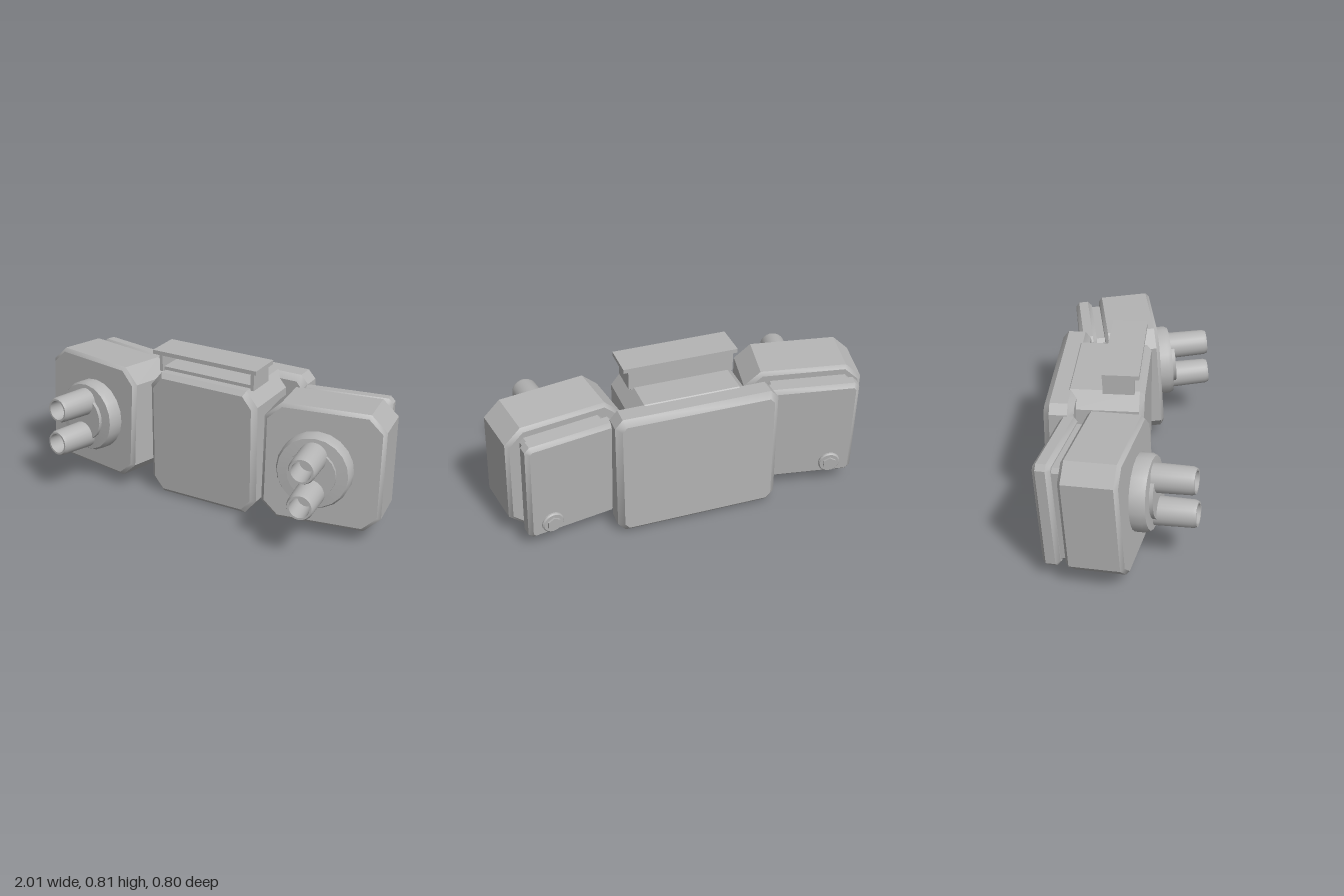
import * as THREE from 'three';
import { toCreasedNormals } from 'three/addons/utils/BufferGeometryUtils.js';

const metal = new THREE.MeshStandardMaterial({ color: 0xb4b4b4 });
metal.name = 'grey metal';

function part(name, geometry, x = 0, y = 0, z = 0) {
  const mesh = new THREE.Mesh(toCreasedNormals(geometry, 0.6), metal);
  mesh.name = name;
  mesh.position.set(x, y, z);
  return mesh;
}

// Box with its four corners cut off and its front and back rims bevelled, centred
function cutBox(w, h, d, cutX, cutY, bevel) {
  const a = w / 2, b = h / 2;
  const shape = new THREE.Shape([
    [a, -b + cutY], [a, b - cutY], [a - cutX, b], [-a + cutX, b],
    [-a, b - cutY], [-a, -b + cutY], [-a + cutX, -b], [a - cutX, -b],
  ].map(([x, y]) => new THREE.Vector2(x, y)));
  return new THREE.ExtrudeGeometry(shape, {
    depth: d - 2 * bevel, bevelEnabled: true, bevelSegments: 1,
    bevelSize: bevel, bevelThickness: bevel, bevelOffset: -bevel,
  }).translate(0, 0, -d / 2 + bevel);
}

// Turned part whose axis points along +z
function turned(profile, sides) {
  const points = profile.map(([r, z]) => new THREE.Vector2(r, z));
  return new THREE.LatheGeometry(points, sides).rotateX(Math.PI / 2);
}

function createPod(side) {
  const pod = new THREE.Group();
  pod.name = side > 0 ? 'leftPod' : 'rightPod';
  pod.position.set(side * 0.67, 0.37, -0.045);
  pod.rotation.set(-0.068, side * 0.175, 0, 'YXZ');

  pod.add(part('podBody', cutBox(0.625, 0.62, 0.29, 0.085, 0.08, 0.018)));
  pod.add(part('plateNeck', cutBox(0.44, 0.52, 0.08, 0.02, 0.02, 0.005), side * 0.02, 0, -0.17));
  pod.add(part('rearPlate', cutBox(0.49, 0.575, 0.09, 0.025, 0.025, 0.02), side * 0.02, 0, -0.235));

  // Hex bolt on the rear plate
  const bolt = new THREE.Group();
  bolt.name = 'bolt';
  bolt.position.set(side * 0.14, -0.21, -0.28);
  bolt.rotation.y = Math.PI;
  bolt.add(part('boltWasher', turned([[0.058, -0.01], [0.058, 0.008], [0.052, 0.014], [0, 0.014]], 20)));
  bolt.add(part('boltHead', turned([[0.037, 0], [0.037, 0.024], [0, 0.024]], 6)));
  pod.add(bolt);

  // Round mount and twin hollow barrels
  const x = -side * 0.028;
  pod.add(part('barrelMount', turned(
    [[0.193, 0.12], [0.193, 0.20], [0.182, 0.222], [0.125, 0.226], [0.125, 0.245], [0, 0.245]], 20), x, 0, 0));
  for (const y of [0.094, -0.094]) {
    pod.add(part('barrel', turned(
      [[0.074, 0.18], [0.069, 0.418], [0.062, 0.435], [0.052, 0.435], [0.048, 0.30], [0, 0.30]], 24), x, y - 0.005, 0));
  }
  return pod;
}

export function createModel() {
  const model = new THREE.Group();
  model.name = 'twinBarrelUnit';

  // Central housing and its back cover
  model.add(part('centreBody', cutBox(0.635, 0.695, 0.40, 0.065, 0.08, 0.025), 0, 0.3475, -0.10));
  model.add(part('backCover', cutBox(0.86, 0.68, 0.15, 0.04, 0.045, 0.03), 0, 0.35, -0.315));

  // Open-fronted bracket on top
  const bracket = new THREE.Group();
  bracket.name = 'topBracket';
  bracket.add(part('bracketTop', new THREE.BoxGeometry(0.61, 0.022, 0.185), 0, 0.799, -0.018));
  bracket.add(part('bracketBack', new THREE.BoxGeometry(0.54, 0.11, 0.02), 0, 0.738, -0.10));
  bracket.add(part('bracketFloor', new THREE.BoxGeometry(0.54, 0.025, 0.145), 0, 0.70, -0.037));
  for (const side of [1, -1]) {
    bracket.add(part('bracketSide', new THREE.BoxGeometry(0.018, 0.10, 0.16), side * 0.271, 0.74, -0.03));
  }
  model.add(bracket);

  for (const side of [1, -1]) model.add(createPod(side));
  return model;
}
